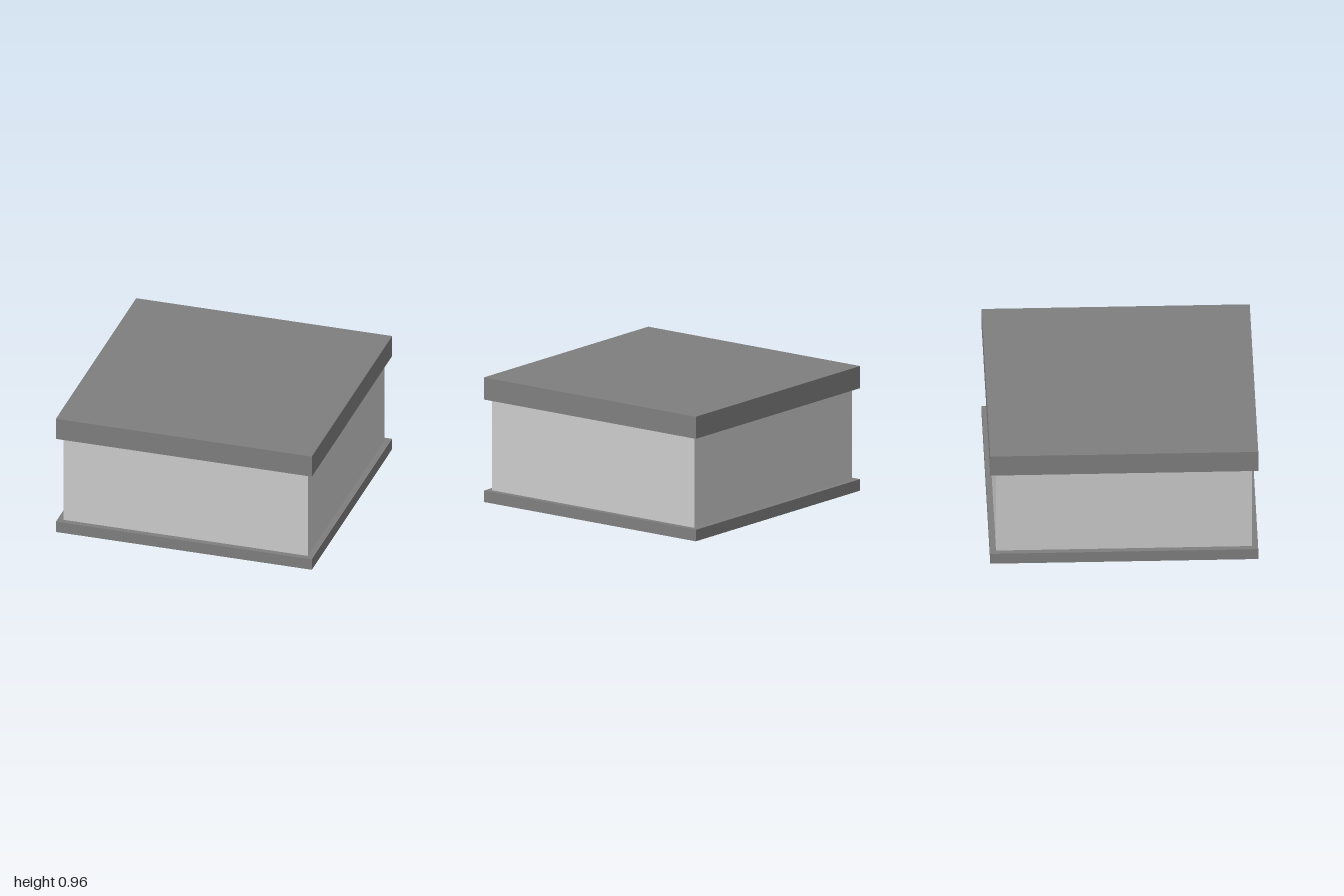
import * as THREE from 'three';

const dark = new THREE.MeshStandardMaterial({ color: 0x7f7f7f, flatShading: true });
const light = new THREE.MeshStandardMaterial({ color: 0xcccccc, flatShading: true });

// Sweeps a profile of [half width, height] points around a square.
function squareSweep(name, profile, material) {
  const points = profile.map(([half, y]) => new THREE.Vector2(half * Math.SQRT2, y));
  const geometry = new THREE.LatheGeometry(points, 4, Math.PI / 4).toNonIndexed();
  geometry.computeVertexNormals();
  const mesh = new THREE.Mesh(geometry, material);
  mesh.name = name;
  return mesh;
}

export function createModel() {
  const rim = 1, wall = 0.956, cavity = 0.86;
  const baseTop = 0.088, lidBottom = 0.787, lidTop = 0.957;

  const model = new THREE.Group();
  model.name = 'box';
  model.add(
    // Hollow inside, open at the bottom, running out into the base rim
    squareSweep('baseAndLining', [
      [0, lidBottom], [cavity, lidBottom], [cavity, 0],
      [rim, 0], [rim, baseTop], [wall, baseTop],
    ], dark),
    // Pale outer side panels
    squareSweep('sidePanels', [[wall, baseTop], [wall, lidBottom]], light),
    // Overhanging flat lid
    squareSweep('lid', [[wall, lidBottom], [rim, lidBottom], [rim, lidTop], [0, lidTop]], dark),
  );
  return model;
}
